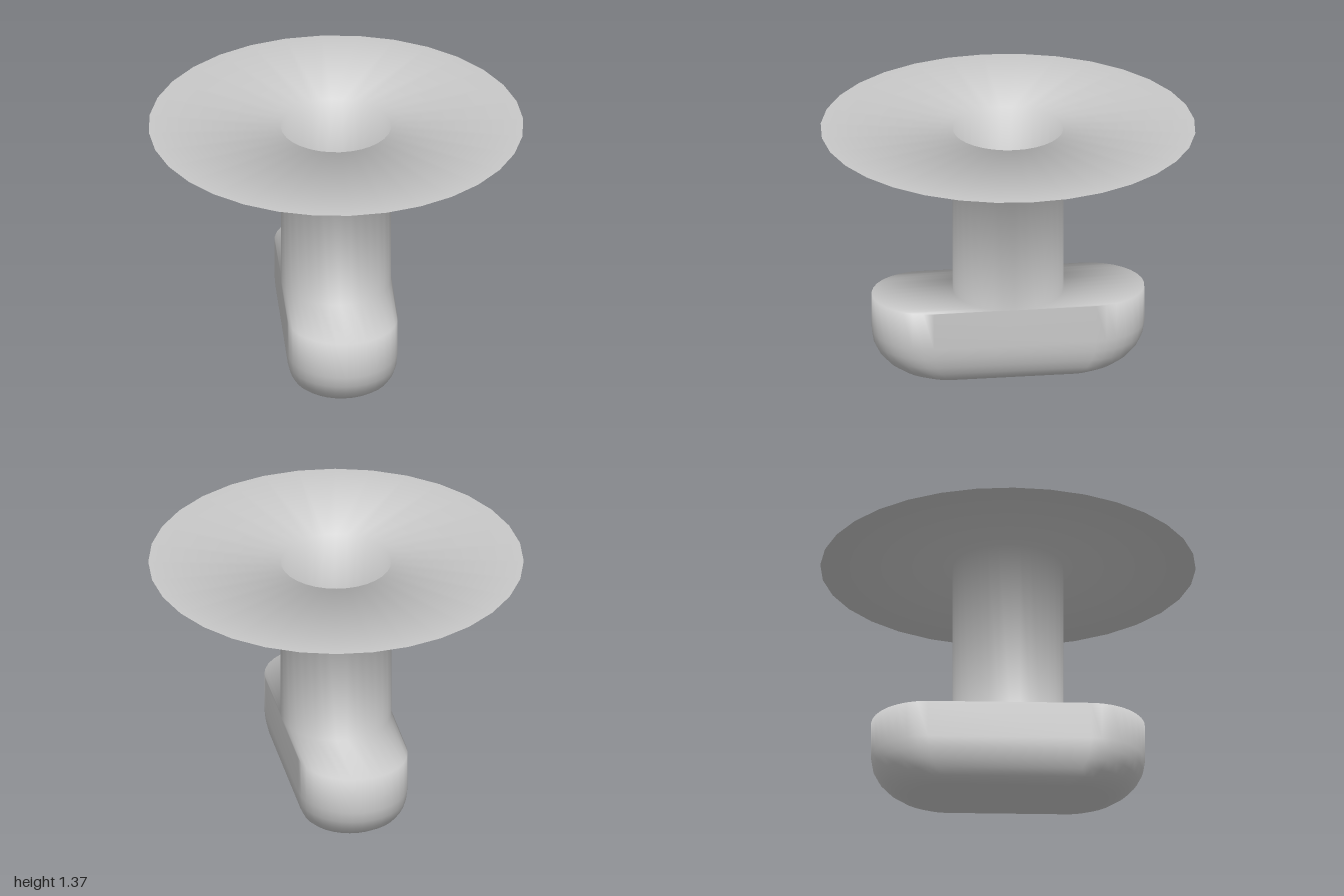
import * as THREE from 'three';
import { mergeVertices } from 'three/addons/utils/BufferGeometryUtils.js';

const SIDES = 32;
const R = 0.295;          // neck radius and half width of the foot
const TOP = 1.365;        // height of the flange
const SHOULDER = 0.435;   // height where the neck meets the foot

// A ring at height y: a circle of radius r pulled apart along z by +-c.
// The two side points are doubled so that every ring has the same count.
function ring(r, c, y) {
  const points = [];
  for (const half of [0, 1]) {
    for (let i = 0; i <= SIDES / 2; i++) {
      const a = Math.PI * half + (i / (SIDES / 2)) * Math.PI;
      points.push([r * Math.cos(a), y, r * Math.sin(a) + (half ? -c : c)]);
    }
  }
  return points;
}

export function createModel() {
  const grey = new THREE.MeshStandardMaterial({ color: 0xc8c8c8, side: THREE.DoubleSide });
  grey.name = 'light grey';

  // Rings from the flange edge, down the neck and out into the foot
  const rings = [
    ring(1, 0, TOP),
    ring(R, 0, TOP),
    ring(R, 0, SHOULDER),
    ring(R, 0.435, SHOULDER),
  ];
  // Rounded underside of the foot
  const STEPS = 6;
  for (let k = 0; k <= STEPS; k++) {
    const a = (k / STEPS) * Math.PI / 2;
    const inset = 1 - Math.cos(a);
    rings.push(ring(R - 0.13 * inset, 0.435 - 0.15 * inset, 0.23 * (1 - Math.sin(a))));
  }
  rings.push(ring(0, 0, 0)); // floor closes to its middle

  // One continuous open sheet, so that shading flows across all parts
  const n = rings[0].length;
  const index = [];
  for (let k = 0; k < rings.length - 1; k++) {
    for (let i = 0; i < n; i++) {
      const j = (i + 1) % n;
      const a = k * n + i, a2 = k * n + j;
      const b = a + n, b2 = a2 + n;
      index.push(a, b, a2, a2, b, b2);
    }
  }
  let sheet = new THREE.BufferGeometry();
  sheet.setAttribute('position', new THREE.Float32BufferAttribute(rings.flat(2), 3));
  sheet.setIndex(index);
  sheet = mergeVertices(sheet, 1e-4);
  sheet.computeVertexNormals();

  // Cut the sheet into named parts that share its vertices and normals
  const group = new THREE.Group();
  group.name = 'flangedSlot';
  const all = Array.from(sheet.index.array);
  const addPart = (name, from, to) => {
    const geometry = new THREE.BufferGeometry();
    geometry.setAttribute('position', sheet.attributes.position);
    geometry.setAttribute('normal', sheet.attributes.normal);
    const part = [];
    for (let t = from * n * 6; t < to * n * 6; t += 3) {
      const [a, b, c] = all.slice(t, t + 3);
      if (a !== b && b !== c && c !== a) part.push(a, b, c); // skip collapsed faces
    }
    geometry.setIndex(part);
    const mesh = new THREE.Mesh(geometry, grey);
    mesh.name = name;
    group.add(mesh);
  };
  addPart('flange', 0, 1);
  addPart('neck', 1, 2);
  addPart('foot', 2, rings.length - 1);
  return group;
}
